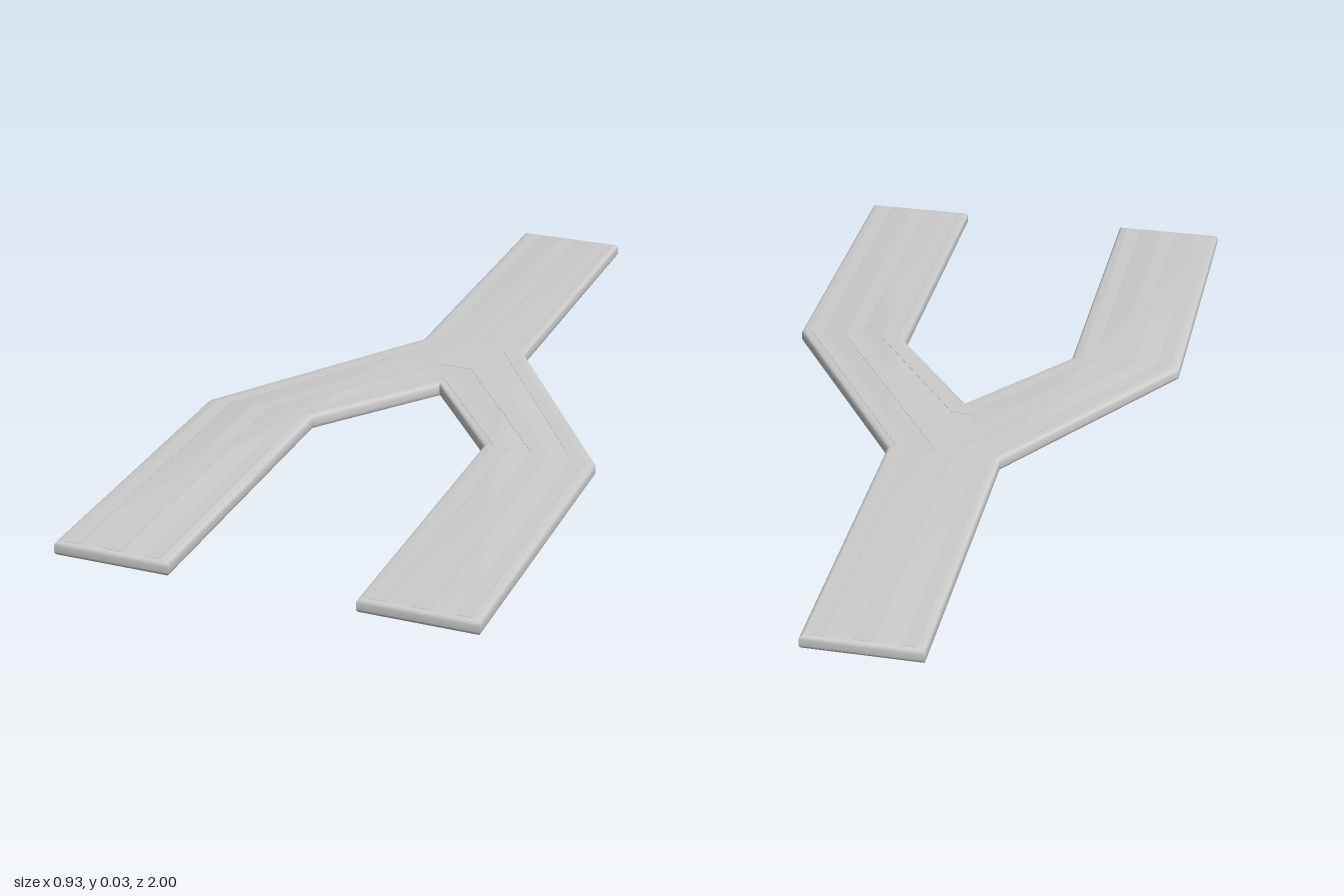
import * as THREE from 'three';
import { toCreasedNormals } from 'three/addons/utils/BufferGeometryUtils.js';

const TOP = 0.033;      // upper face of the slab
const RAISE = 0.0008;   // height of the surface strips

const material = new THREE.MeshStandardMaterial({ color: 0xcccccc });

// Points are [x, z] on the ground plan.
const toShape = (pts) => new THREE.Shape(pts.map(([x, z]) => new THREE.Vector2(x, z)));
const flip = (pts) => pts.map(([x, z]) => [-x, z]).reverse();

// Extrudes a plan outline between two heights, with optional rounded rims.
function plate(name, pts, bottom, top, round = 0) {
  let geo = new THREE.ExtrudeGeometry(toShape(pts), {
    depth: top - bottom - 2 * round,
    bevelEnabled: round > 0,
    bevelSize: round,
    bevelThickness: round,
    bevelOffset: -round,
    bevelSegments: 4,
  });
  geo.rotateX(Math.PI / 2);
  geo.translate(0, top - round, 0);
  geo = toCreasedNormals(geo, 0.5);
  const mesh = new THREE.Mesh(geo, material);
  mesh.name = name;
  return mesh;
}

export function createModel() {
  const group = new THREE.Group();
  group.name = 'forkedTrack';

  // Y-shaped slab: one stem that splits into two parallel legs
  const half = [[0.13, -1], [0.13, -0.24], [0.465, 0.26], [0.465, 1], [0.205, 1], [0.205, 0.26]];
  group.add(plate('slab', [...half, [0, -0.005], ...flip(half)], 0, TOP, 0.01));

  // Middle strip, forking with the slab
  const middle = [[0.02, -0.99], [0.02, -0.235], [0.355, 0.26], [0.355, 0.99],
    [0.315, 0.99], [0.315, 0.26], [0.04, -0.11]];
  group.add(plate('middleStrip', [...middle, ...flip(middle)], TOP - 0.002, TOP + RAISE));

  // Outer border strips, one on each side
  const outer = [[0.08, -0.99], [0.11, -0.99], [0.11, -0.235], [0.443, 0.265], [0.443, 0.99],
    [0.41, 0.99], [0.41, 0.265], [0.08, -0.23]];
  group.add(plate('leftBorderStrip', outer, TOP - 0.002, TOP + RAISE));
  group.add(plate('rightBorderStrip', flip(outer), TOP - 0.002, TOP + RAISE));

  // Inner border strip running around the notch between the legs
  const inner = [[0.02, -0.06], [0.262, 0.26], [0.262, 0.99], [0.228, 0.99], [0.228, 0.26], [0.005, -0.03]];
  group.add(plate('innerBorderStrip', [...inner, ...flip(inner)], TOP - 0.002, TOP + RAISE));

  return group;
}
